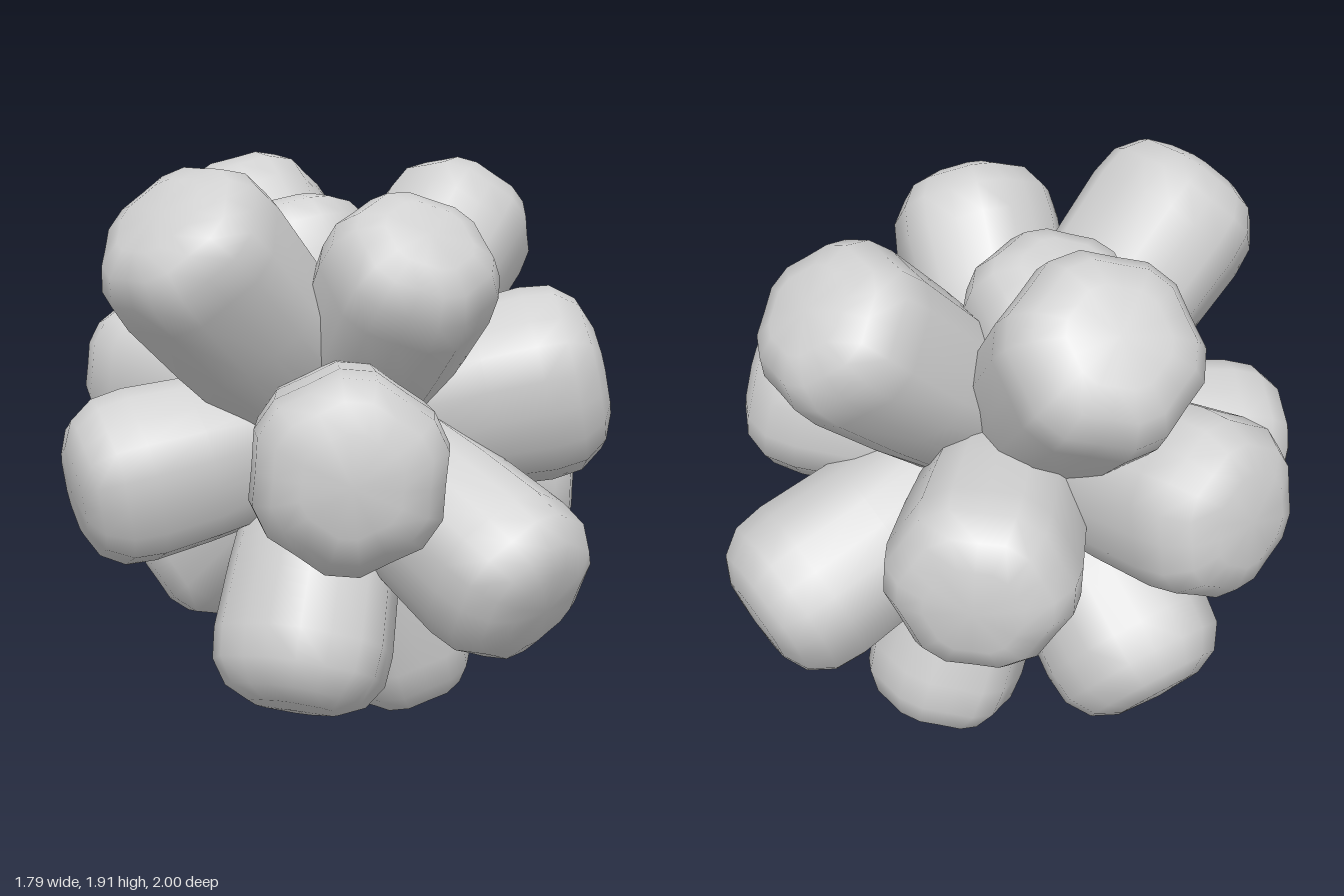
import * as THREE from 'three';
import { mergeVertices } from 'three/addons/utils/BufferGeometryUtils.js';

// Each lobe: direction from the centre, length, radius, roll about its axis
const LOBES = [
  ['frontLobe', [0.06, -0.01, 1], 1.0, 0.292, 0.5],
  ['upperFrontRightLobe', [-0.49, 0.68, 0.56], 1.06, 0.285, 0.3],
  ['upperFrontLeftLobe', [0.31, 0.72, 0.6], 0.9, 0.27, 0.0],
  ['rightLobe', [-0.9, -0.18, 0.35], 0.905, 0.28, 0.2],
  ['lowerFrontLobe', [-0.14, -0.9, 0.43], 0.95, 0.285, 0.1],
  ['lowerFrontLeftLobe', [0.65, -0.47, 0.63], 1.0, 0.28, 0.4],
  ['leftLobe', [0.98, 0.2, -0.02], 0.885, 0.318, 0.2],
  ['upperBackLeftLobe', [0.45, 0.68, -0.58], 1.09, 0.27, 0.2],
  ['lowerBackLeftLobe', [0.7, -0.36, -0.65], 1.05, 0.28, 0.5],
  ['bottomLobe', [0.25, -0.95, -0.27], 1.06, 0.26, 0.3],
  ['lowerBackRightLobe', [-0.57, -0.64, -0.53], 0.97, 0.28, 0.1],
  ['backRightLobe', [-0.78, 0.15, -0.59], 1.01, 0.285, 0.4],
  ['backLobe', [-0.05, 0.02, -1], 1.0, 0.285, 0.0],
  ['upperBackRightLobe', [-0.38, 0.71, -0.61], 1.06, 0.3, 0.2],
  ['topLobe', [-0.25, 0.96, -0.27], 0.76, 0.272, 0.1],
];

// Softly six-sided column with a bevelled, slightly domed end
function lobeGeometry(length, radius) {
  const profile = [
    [0, 0], [0.82, 0.1], [0.96, length * 0.55], [1, length - 0.22],
    [0.96, length - 0.12], [0.78, length - 0.045], [0.5, length - 0.008], [0, length],
  ].map(([r, y]) => new THREE.Vector2(r * radius, y));
  let geo = new THREE.LatheGeometry(profile, 18);
  geo.deleteAttribute('uv');
  geo.deleteAttribute('normal');
  const pos = geo.attributes.position;
  for (let i = 0; i < pos.count; i++) {
    const a = Math.atan2(pos.getZ(i), pos.getX(i));
    const k = 1 + 0.045 * Math.cos(6 * a);
    pos.setX(i, pos.getX(i) * k);
    pos.setZ(i, pos.getZ(i) * k);
  }
  geo = mergeVertices(geo, 1e-4);
  geo.computeVertexNormals();
  return geo;
}

export function createModel() {
  const group = new THREE.Group();
  group.name = 'lobedCluster';
  const grey = new THREE.MeshStandardMaterial({ color: 0xd0d0d0 });
  grey.name = 'grey';

  // Lobes radiating from the centre
  const up = new THREE.Vector3(0, 1, 0);
  for (const [name, dir, length, radius, roll] of LOBES) {
    const lobe = new THREE.Mesh(lobeGeometry(length, radius), grey);
    lobe.name = name;
    lobe.position.y = 1.02;
    lobe.quaternion.setFromUnitVectors(up, new THREE.Vector3(...dir).normalize());
    lobe.rotateY(roll);
    group.add(lobe);
  }

  // Core filling the valleys between lobes
  const core = new THREE.Mesh(new THREE.SphereGeometry(0.38, 24, 16), grey);
  core.name = 'core';
  core.position.y = 1.02;
  group.add(core);
  return group;
}
